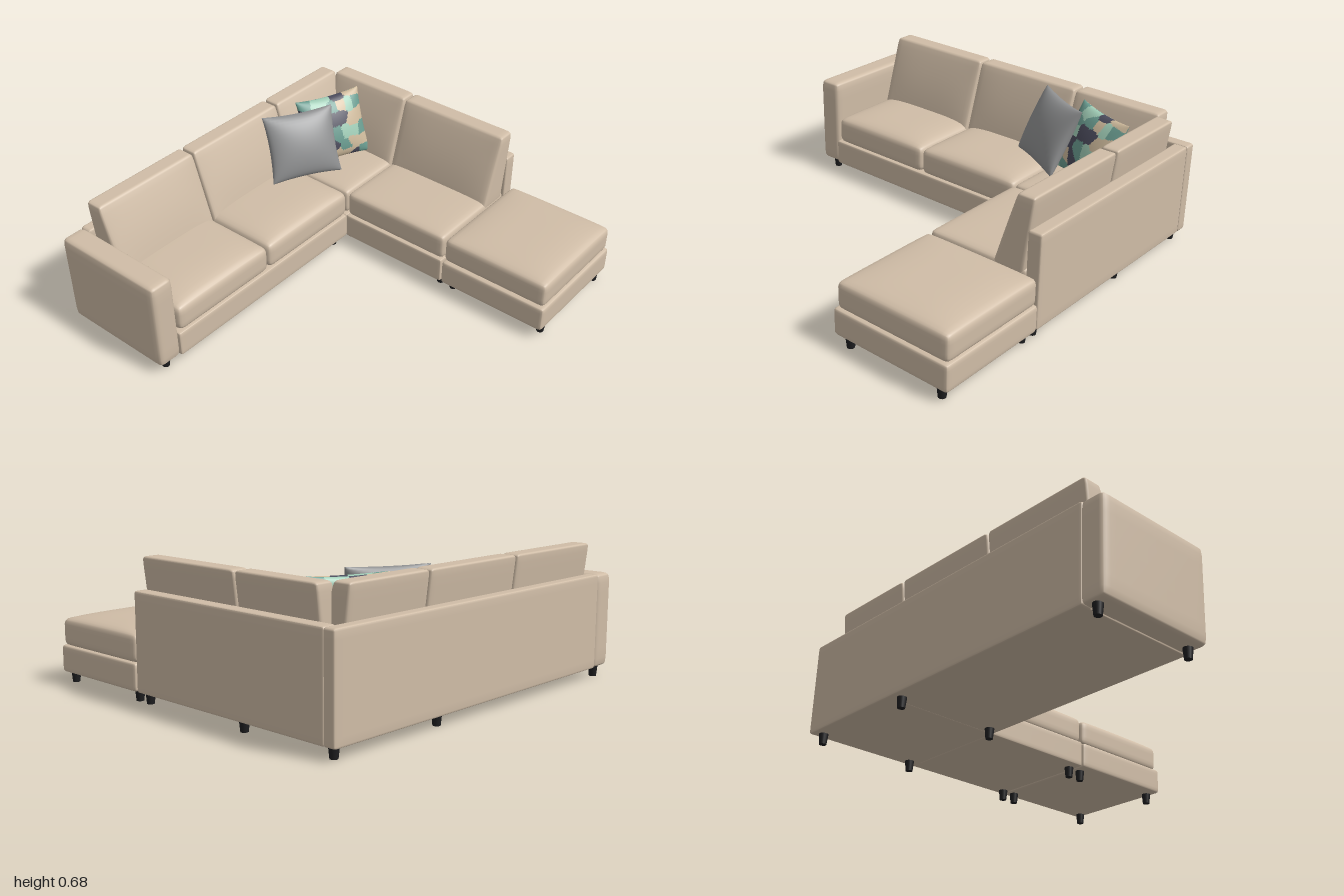
import * as THREE from 'three';
import { mergeVertices } from 'three/addons/utils/BufferGeometryUtils.js';

const mat = (name, color, side = THREE.FrontSide) => {
  const m = new THREE.MeshStandardMaterial({ color, side });
  m.name = name;
  return m;
};

// Soft box: rounded edges, optional crowned top, then any extra shaping rule
function softBox(w, h, d, r, crown = 0, shape = null) {
  const half = [w / 2, h / 2, d / 2];
  const geo = new THREE.BoxGeometry(2, 2, 2, 18, 10, 18);
  geo.deleteAttribute('uv');
  geo.deleteAttribute('normal');
  const pos = geo.attributes.position;
  const p = new THREE.Vector3(), q = new THREE.Vector3();
  for (let i = 0; i < pos.count; i++) {
    p.fromBufferAttribute(pos, i);
    // crowd the grid towards the edges so the rounding is smooth
    p.fromArray(p.toArray().map((c, k) => Math.sin(c * Math.PI / 2) * half[k]));
    q.fromArray(p.toArray().map((c, k) => THREE.MathUtils.clamp(c, r - half[k], half[k] - r)));
    p.sub(q).setLength(r).add(q);
    const u = p.x / half[0], v = p.z / half[2];
    if (p.y > 0) p.y += crown * (1 - u ** 4) * (1 - v ** 4) * p.y / half[1];
    if (shape) shape(p);
    pos.setXYZ(i, p.x, p.y, p.z);
  }
  const out = mergeVertices(geo, 1e-5);
  out.computeVertexNormals();
  return out;
}

// One face of a pillow: square with pinched sides, swelling to the middle
function pillowFace(w, h, t, n) {
  const geo = new THREE.PlaneGeometry(2, 2, n, n);
  const pos = geo.attributes.position;
  for (let i = 0; i < pos.count; i++) {
    const u = Math.sin(pos.getX(i) * Math.PI / 2), v = Math.sin(pos.getY(i) * Math.PI / 2);
    const a = Math.max(0, 1 - u * u), b = Math.max(0, 1 - v * v);
    pos.setXYZ(i, u * w / 2 * (1 - 0.07 * b), v * h / 2 * (1 - 0.07 * a), t / 2 * (a * b) ** 0.45);
  }
  geo.computeVertexNormals();
  return geo;
}

// Sort the triangles of a pillow face into irregular coloured patches
function addPatches(geo, colours, cells) {
  let seed = 11;
  const rnd = () => (seed = (seed * 16807) % 2147483647) / 2147483647;
  const sites = [];
  for (let i = 0; i < cells; i++) for (let j = 0; j < cells; j++) {
    sites.push({
      x: ((i + 0.15 + 0.7 * rnd()) / cells - 0.5) * 0.38,
      y: ((j + 0.15 + 0.7 * rnd()) / cells - 0.5) * 0.38,
      c: (i + 2 * j + Math.floor(rnd() * 2)) % colours,
    });
  }
  const idx = geo.index.array, pos = geo.attributes.position;
  const bins = Array.from({ length: colours }, () => []);
  for (let k = 0; k < idx.length; k += 3) {
    const tri = [idx[k], idx[k + 1], idx[k + 2]];
    const x = tri.reduce((s, i) => s + pos.getX(i), 0) / 3;
    const y = tri.reduce((s, i) => s + pos.getY(i), 0) / 3;
    let best = sites[0], bd = Infinity;
    for (const s of sites) {
      const dd = (s.x - x) ** 2 + (s.y - y) ** 2;
      if (dd < bd) { bd = dd; best = s; }
    }
    bins[best.c].push(...tri);
  }
  geo.setIndex(bins.flat());
  let start = 0;
  bins.forEach((b, i) => { geo.addGroup(start, b.length, i); start += b.length; });
}

export function createModel() {
  const sofa = new THREE.Group();
  sofa.name = 'cornerSofa';
  const fabric = mat('beigeFabric', 0xd0bda7);
  const black = mat('blackLeg', 0x1e1e20);
  const grey = mat('greyFabric', 0x8f9091, THREE.DoubleSide);
  const patches = [
    mat('mintPatch', 0x9fcbb5, THREE.DoubleSide),
    mat('slatePatch', 0x4b4b5c, THREE.DoubleSide),
    mat('tealPatch', 0x6a9c90, THREE.DoubleSide),
    mat('sandPatch', 0xcdb99b, THREE.DoubleSide),
  ];
  const add = (name, geo, material, parent = sofa) => {
    const m = new THREE.Mesh(geo, material);
    m.name = name;
    parent.add(m);
    return m;
  };
  // Soft block given by its extents
  const block = (name, [x0, x1], [y0, y1], [z0, z1], r, crown = 0) =>
    add(name, softBox(x1 - x0, y1 - y0, z1 - z0, r, crown), fabric)
      .position.set((x0 + x1) / 2, (y0 + y1) / 2, (z0 + z1) / 2);

  // Bases
  const baseY = [0.053, 0.19];
  block('sofaBase', [-0.875, 0.36], baseY, [-0.9, -0.3], 0.012);
  block('cornerBase', [0.355, 0.94], baseY, [-0.9, -0.3], 0.012);
  block('chaiseBase', [0.355, 0.94], baseY, [-0.305, 0.32], 0.012);
  block('ottomanBase', [0.352, 0.995], baseY, [0.325, 0.927], 0.018);

  // Arm and outer back panels
  block('arm', [-1, -0.868], [0.052, 0.525], [-0.933, -0.307], 0.03);
  block('rearPanel', [-0.88, 0.99], [0.053, 0.525], [-0.932, -0.868], 0.012);
  block('sidePanel', [0.915, 0.99], [0.053, 0.525], [-0.872, 0.322], 0.012);

  // Seat cushions
  const seatY = [0.186, 0.328];
  block('seatCushion', [-0.862, -0.247], seatY, [-0.87, -0.304], 0.035, 0.026);
  block('seatCushion', [-0.245, 0.368], seatY, [-0.87, -0.304], 0.035, 0.026);
  block('cornerCushion', [0.368, 0.92], [0.186, 0.325], [-0.87, -0.307], 0.03, 0.012);
  block('chaiseCushion', [0.365, 0.92], [0.186, 0.325], [-0.305, 0.32], 0.03, 0.012);
  block('ottomanCushion', [0.365, 0.99], [0.186, 0.322], [0.327, 0.918], 0.03, 0.022);

  // Back cushions: wedge leaning backwards, front facing +z
  const height = 0.4;
  const backCushion = (width) => softBox(width, height, 0.17, 0.022, 0, (p) => {
    const v = p.y / height + 0.5, u = 2 * p.x / width;
    const belly = p.z > 0 ? 0.014 * (1 - u ** 4) * Math.sin(Math.PI * v) : 0;
    p.z = p.z * THREE.MathUtils.lerp(1.02, 0.55, v) + THREE.MathUtils.lerp(-0.755, -0.842, v) + belly;
    p.y += 0.48;
  });
  for (const [x0, x1] of [[-0.856, -0.249], [-0.243, 0.366], [0.372, 0.86]]) {
    add('rearBackCushion', backCushion(x1 - x0), fabric).position.x = (x0 + x1) / 2;
  }
  for (const [z0, z1] of [[-0.79, -0.308], [-0.302, 0.32]]) {
    const m = add('sideBackCushion', backCushion(z1 - z0), fabric);
    m.rotation.y = -Math.PI / 2;
    m.position.set(0.055, -0.002, (z0 + z1) / 2);
  }

  // Throw pillows
  const pillow = (name, geo, material, [x, y, z], turn, tilt) => {
    const g = new THREE.Group();
    g.name = name;
    add(name + 'Front', geo, material, g);
    add(name + 'Back', geo, material, g).rotation.y = Math.PI;
    g.rotation.set(tilt, turn, 0, 'YXZ');
    g.position.set(x, y, z);
    sofa.add(g);
  };
  pillow('greyPillow', pillowFace(0.39, 0.36, 0.13, 20), grey, [0.355, 0.515, -0.605], -0.5, -0.43);
  const patched = pillowFace(0.38, 0.36, 0.13, 56);
  addPatches(patched, patches.length, 6);
  pillow('patchedPillow', patched, patches, [0.61, 0.505, -0.605], -0.38, -0.43);

  // Tapered legs
  const legGeo = new THREE.CylinderGeometry(0.024, 0.018, 0.058, 16);
  const legs = [
    [-0.93, -0.36], [-0.93, -0.89], [0.31, -0.36], [0.31, -0.88], [0.94, -0.88], [0.94, -0.36],
    [0.42, 0.285], [0.94, 0.285], [0.42, 0.365], [0.94, 0.365], [0.42, 0.89], [0.94, 0.89],
  ];
  for (const [x, z] of legs) add('leg', legGeo, black).position.set(x, 0.029, z);

  return sofa;
}
